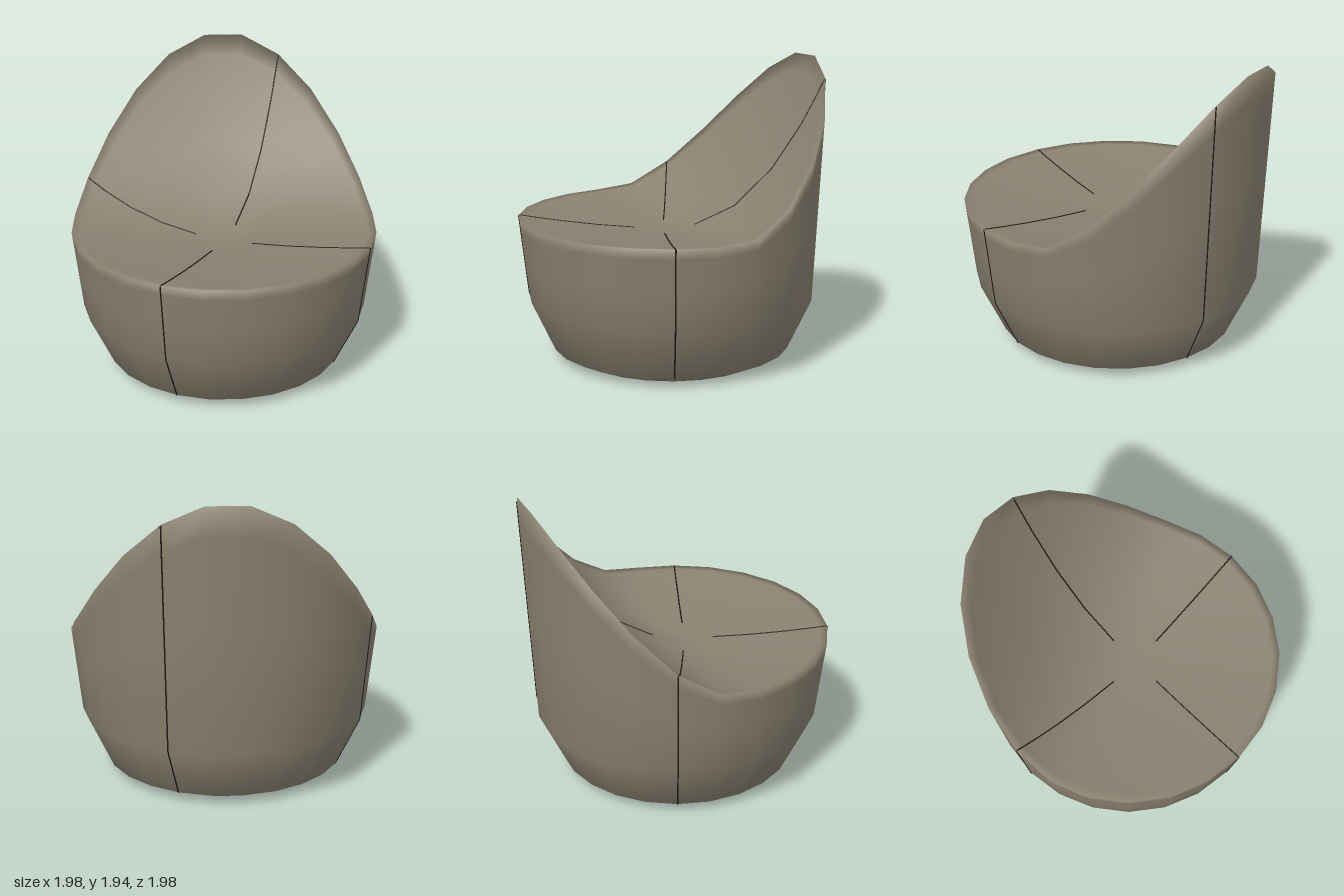
import * as THREE from 'three';

const SEGMENTS = 24;
const RIM_RADIUS = 1.0;
const SEAT = new THREE.Vector3(0, 0.84, 0.06); // lowest point of the dished seat

const angleAt = (i) => ((i + 0.5) / SEGMENTS) * Math.PI * 2;

// Point on the circle of radius r at height y
const ringPoint = (a, r, y) => new THREE.Vector3(Math.sin(a) * r, y, Math.cos(a) * r);

// Level at the front, sweeping up into the backrest
function rimPoint(a) {
  const back = Math.max(0, -Math.cos(a));
  return ringPoint(a, RIM_RADIUS, 0.93 + 1.03 * Math.pow(back, 1.8));
}

// Outside of the bag, from the floor up to just below the rim
function outerProfile(a) {
  const low = ringPoint(a, 0.94, 0.4);
  const rim = rimPoint(a);
  return [
    ringPoint(a, 0.65, 0),
    ringPoint(a, 0.785, 0.065),
    low,
    low.clone().lerp(rim, 0.5),
    low.clone().lerp(rim, 0.88),
  ];
}

// Inside, from the rim down to the middle of the seat
function innerProfile(a) {
  const rim = rimPoint(a);
  const power = 1.7 + 0.7 * THREE.MathUtils.smoothstep(-Math.cos(a), -0.5, 0.5);
  return [1, 0.95, 0.86, 0.68, 0.45, 0.2].map((t) => {
    const p = SEAT.clone().lerp(rim, t);
    p.y = SEAT.y + (rim.y - SEAT.y) * Math.pow(t, power);
    return p;
  });
}

// One closed smooth skin: base, sides, rim, backrest and seat
function bagGeometry() {
  const positions = [];
  const index = [];
  let rows = 0;
  for (let i = 0; i < SEGMENTS; i++) {
    const column = [...outerProfile(angleAt(i)), ...innerProfile(angleAt(i))];
    rows = column.length;
    column.forEach((p) => positions.push(p.x, p.y, p.z));
  }
  const floorCentre = SEGMENTS * rows;
  const seatCentre = floorCentre + 1;
  positions.push(0, 0, 0, SEAT.x, SEAT.y, SEAT.z);

  for (let i = 0; i < SEGMENTS; i++) {
    const a = i * rows;
    const b = ((i + 1) % SEGMENTS) * rows;
    for (let j = 0; j < rows - 1; j++) {
      index.push(a + j, b + j, b + j + 1, a + j, b + j + 1, a + j + 1);
    }
    index.push(floorCentre, b, a);
    index.push(seatCentre, a + rows - 1, b + rows - 1);
  }
  const geometry = new THREE.BufferGeometry();
  geometry.setAttribute('position', new THREE.Float32BufferAttribute(positions, 3));
  geometry.setIndex(index);
  geometry.computeVertexNormals();
  return geometry;
}

// Thin piping following one column of the skin
function seamGeometry(a) {
  const points = [...outerProfile(a).slice(1), ...innerProfile(a)];
  const path = new THREE.CurvePath();
  for (let i = 0; i < points.length - 1; i++) {
    path.add(new THREE.LineCurve3(points[i], points[i + 1]));
  }
  return new THREE.TubeGeometry(path, 120, 0.005, 5, false);
}

export function createModel() {
  const group = new THREE.Group();
  group.name = 'beanbagChair';

  const fabric = new THREE.MeshStandardMaterial({ color: 0x8a8170 });
  fabric.name = 'taupe fabric';
  const thread = new THREE.MeshStandardMaterial({ color: 0x1e1c18 });
  thread.name = 'dark seam';

  const bag = new THREE.Mesh(bagGeometry(), fabric);
  bag.name = 'bag';
  group.add(bag);

  // Four seams a quarter turn apart
  const seams = new THREE.Group();
  seams.name = 'seams';
  for (let k = 0; k < 4; k++) {
    const seam = new THREE.Mesh(seamGeometry(angleAt(4 + k * 6)), thread);
    seam.name = 'seam';
    seams.add(seam);
  }
  group.add(seams);
  return group;
}
